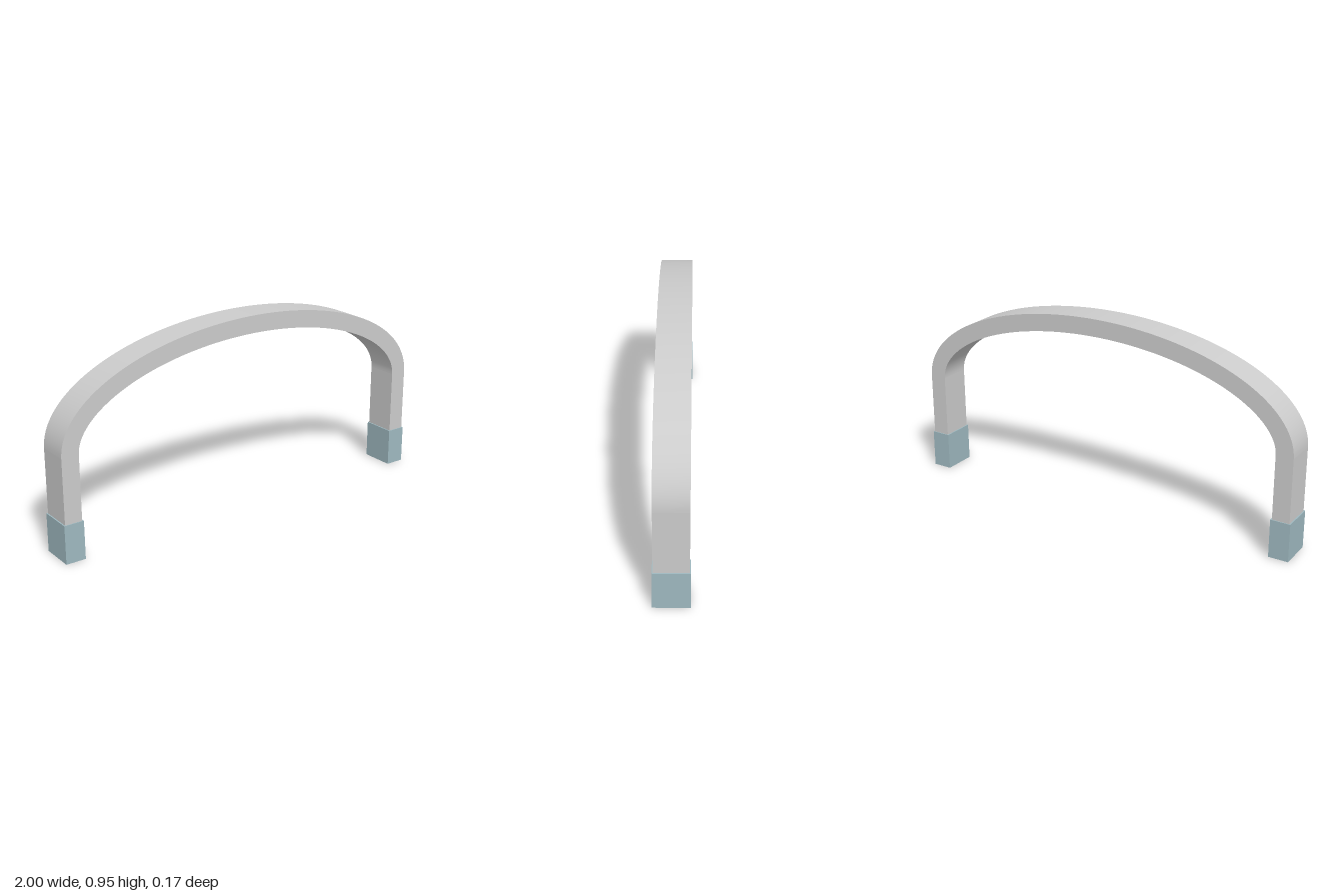
import * as THREE from 'three';
import { toCreasedNormals } from 'three/addons/utils/BufferGeometryUtils.js';

const HALF = 0.042;      // half thickness of the bar
const DEPTH = 0.156;     // bar width along z
const SPRING = 0.495;    // height where the arch begins
const RX = 0.952, RY = 0.417; // centreline ellipse

export function createModel() {
  const group = new THREE.Group();
  const grey = new THREE.MeshStandardMaterial({ color: 0xcccccc });
  const blue = new THREE.MeshStandardMaterial({ color: 0x9eb8bf });

  // Point on the ellipse, pushed along its normal by d
  const offsetPoint = (t, d) => {
    const c = Math.cos(t), s = Math.sin(t);
    const n = new THREE.Vector2(c * RY, s * RX).normalize();
    return new THREE.Vector2(RX * c + n.x * d, SPRING + RY * s + n.y * d);
  };

  // Curved bar: constant-thickness band along a half ellipse
  const steps = 96, outer = [], inner = [];
  for (let i = 0; i <= steps; i++) {
    const t = (i / steps) * Math.PI;
    outer.push(offsetPoint(t, HALF));
    inner.unshift(offsetPoint(t, -HALF));
  }
  const archGeo = new THREE.ExtrudeGeometry(new THREE.Shape([...outer, ...inner]), {
    depth: DEPTH, bevelEnabled: false,
  });
  archGeo.translate(0, 0, -DEPTH / 2);
  const arch = new THREE.Mesh(toCreasedNormals(archGeo, 0.5), grey);
  arch.name = 'arch';
  group.add(arch);

  const addBox = (name, w, y0, y1, d, x, material) => {
    const mesh = new THREE.Mesh(new THREE.BoxGeometry(w, y1 - y0, d), material);
    mesh.position.set(x, (y0 + y1) / 2, 0);
    mesh.name = name;
    group.add(mesh);
  };

  // Straight legs and the slightly wider caps at their ends
  for (const [side, s] of [['left', 1], ['right', -1]]) {
    addBox(side + 'Leg', HALF * 2, 0.1, SPRING, DEPTH, s * RX, grey);
    addBox(side + 'Foot', 0.096, 0, 0.185, 0.165, s * RX, blue);
  }
  return group;
}
